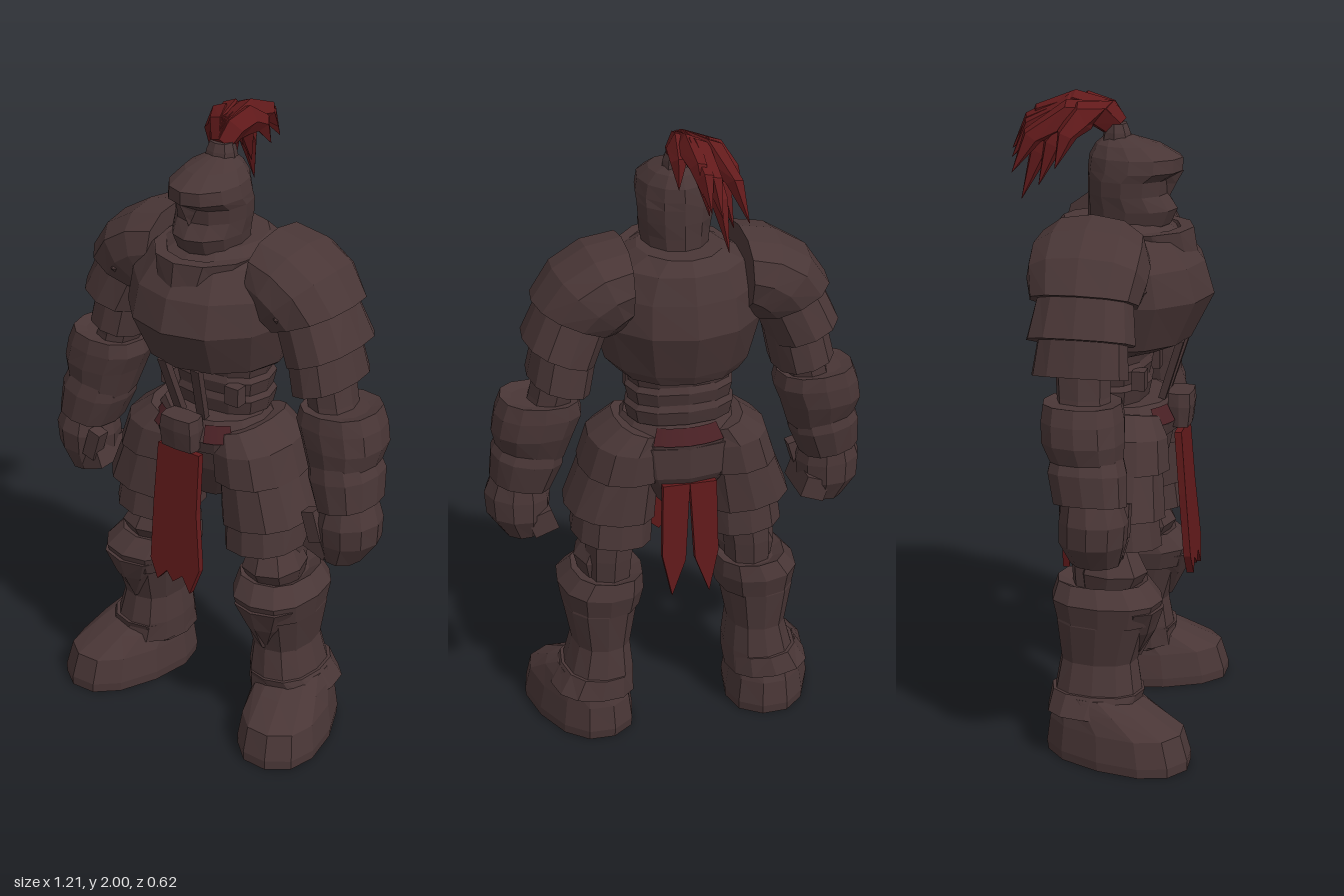
import * as THREE from 'three';

const steel = new THREE.MeshStandardMaterial({ color: 0x493636 });
steel.name = 'dark steel';
const red = new THREE.MeshStandardMaterial({ color: 0x621a1b });
red.name = 'red cloth';
const maroon = new THREE.MeshStandardMaterial({ color: 0x482024, side: THREE.DoubleSide });
maroon.name = 'maroon trim';

// Faceted closed skin over a list of point rings; turned inside out if its volume is negative.
function skin(rings) {
  const n = rings[0].length, tris = [];
  const mid = r => r.reduce((a, p) => a.add(p), new THREE.Vector3()).divideScalar(n);
  const first = mid(rings[0]), last = mid(rings[rings.length - 1]);
  for (let j = 0; j < n; j++) {
    const k = (j + 1) % n;
    for (let i = 0; i + 1 < rings.length; i++) {
      const a = rings[i], b = rings[i + 1];
      tris.push([a[j], b[j], b[k]], [a[j], b[k], a[k]]);
    }
    tris.push([first, rings[0][j], rings[0][k]]);
    tris.push([last, rings[rings.length - 1][k], rings[rings.length - 1][j]]);
  }
  let vol = 0;
  const v = new THREE.Vector3();
  for (const [a, b, c] of tris) vol += v.crossVectors(b, c).dot(a);
  const pts = tris.flatMap(([a, b, c]) => (vol < 0 ? [a, c, b] : [a, b, c]));
  const g = new THREE.BufferGeometry().setFromPoints(pts);
  g.computeVertexNormals();
  return g;
}

function add(parent, name, geo, mat = steel) {
  const m = new THREE.Mesh(geo, mat);
  m.name = name;
  parent.add(m);
  return m;
}

// Each ring spans (xa,ya)-(xb,yb) across and zBack-zFront in depth; s = -1 mirrors it.
function loft(parent, name, rings, { s = 1, n = 12, k = 0.85 } = {}) {
  const pw = c => Math.sign(c) * Math.abs(c) ** k;
  const pts = rings.map(([xa, ya, xb, yb, zb, zf]) => Array.from({ length: n }, (_, i) => {
    const t = (i / n) * Math.PI * 2, u = (pw(Math.cos(t)) + 1) / 2, w = (pw(Math.sin(t)) + 1) / 2;
    return new THREE.Vector3(s * (xa + (xb - xa) * u), ya + (yb - ya) * u, zb + (zf - zb) * w);
  }));
  return add(parent, name, skin(pts));
}
// Level rings centred on x: [y, halfWidth, zBack, zFront]
const level = rows => rows.map(([y, w, zb, zf]) => [-w, y, w, y, zb, zf]);

function box(parent, name, w, h, d, x, y, z) {
  const m = add(parent, name, new THREE.BoxGeometry(w, h, d));
  m.position.set(x, y, z);
  return m;
}

// Bent, tapering tuft through a few points
function tuft(parent, points, r) {
  const curve = new THREE.CatmullRomCurve3(points.map(p => new THREE.Vector3(...p)));
  const X = new THREE.Vector3(1, 0, 0);
  const rings = [0.8, 1, 0.95, 0.65, 0.02].map((f, i) => {
    const c = curve.getPoint(i / 4), nrm = new THREE.Vector3().crossVectors(X, curve.getTangent(i / 4)).normalize();
    return Array.from({ length: 5 }, (_, j) => {
      const a = (j / 5) * Math.PI * 2;
      return c.clone().addScaledVector(X, r * f * 0.8 * Math.cos(a)).addScaledVector(nrm, r * f * Math.sin(a));
    });
  });
  add(parent, 'plumeTuft', skin(rings), red);
}

// Hanging cloth from an outline measured down from its top edge
function cloth(parent, name, outline, y, z, tilt) {
  const shape = new THREE.Shape(outline.map(p => new THREE.Vector2(...p)));
  const g = new THREE.ExtrudeGeometry(shape, { depth: 0.022, bevelEnabled: false });
  const m = add(parent, name, g, red);
  m.position.set(0, y, z);
  m.rotation.x = tilt;
}

function buildTorso(g) {
  loft(g, 'breastplate', level([[1.23, 0.19, -0.18, 0.16], [1.26, 0.225, -0.195, 0.235], [1.4, 0.265, -0.24, 0.305],
    [1.5, 0.255, -0.22, 0.275], [1.58, 0.205, -0.195, 0.21], [1.62, 0.13, -0.16, 0.14]]), { k: 1 });
  loft(g, 'collar', level([[1.51, 0.13, -0.12, 0.255], [1.6, 0.172, -0.17, 0.24], [1.6, 0.14, -0.14, 0.2],
    [1.56, 0.13, -0.12, 0.18]]), { k: 1 });
  for (let i = 0; i < 3; i++) {
    const y = 1.07 + i * 0.06, w = 0.172 - i * 0.002;
    loft(g, 'waistBand', level([[y, w - 0.01, -0.12, 0.105], [y + 0.045, w, -0.13, 0.115], [y + 0.07, w - 0.02, -0.12, 0.105]]));
  }
  for (const s of [-1, 1]) {
    const strap = box(g, 'strap', 0.03, 0.2, 0.022, s * 0.052, 1.17, 0.185);
    strap.rotation.set(0.3, 0, s * -0.1);
    box(g, 'sideBuckle', 0.05, 0.06, 0.04, s * 0.12, 1.15, 0.1);
  }
  loft(g, 'belt', level([[0.97, 0.2, -0.145, 0.2], [1.01, 0.21, -0.15, 0.21], [1.07, 0.168, -0.114, 0.174]]), { k: 1 });
  loft(g, 'hips', level([[0.77, 0.07, -0.07, 0.1], [0.86, 0.15, -0.13, 0.15], [0.9, 0.18, -0.15, 0.17], [1.0, 0.2, -0.148, 0.19]]));
  loft(g, 'buckle', level([[0.985, 0.062, 0.18, 0.24], [1.05, 0.066, 0.17, 0.248], [1.09, 0.06, 0.17, 0.245]]), { n: 8, k: 0.4 });
  // Painted trim on the sloping belt top: two at the front, one at the back
  for (const [start, len] of [[0.36, 0.45], [-0.81, 0.45], [Math.PI - 0.55, 1.1]]) {
    const trim = add(g, 'beltTrim', new THREE.CylinderGeometry(0.84, 1, 0.048, 6, 1, true, start, len), maroon);
    trim.scale.set(0.213, 1, 0.183);
    trim.position.set(0, 1.037, 0.03);
  }
  cloth(g, 'frontCloth', [[-0.08, 0], [0.075, 0], [0.076, -0.2], [0.098, -0.385], [0.066, -0.475], [0.035, -0.425],
    [0, -0.455], [-0.025, -0.425], [-0.06, -0.465], [-0.09, -0.4], [-0.088, -0.2]], 0.975, 0.2, -0.085);
  for (const s of [-1, 1]) {
    cloth(g, 'backCloth', [[0, 0], [s * 0.085, 0], [s * 0.09, -0.24], [s * 0.06, -0.38], [s * 0.015, -0.26]], 0.88, -0.145, 0.03);
  }
}

function buildHead(g) {
  loft(g, 'helmet', level([[1.54, 0.1, -0.09, 0.1], [1.61, 0.1, -0.085, 0.17], [1.655, 0.108, -0.085, 0.19],
    [1.7, 0.113, -0.085, 0.16], [1.745, 0.116, -0.085, 0.165], [1.77, 0.116, -0.085, 0.205], [1.81, 0.108, -0.08, 0.205],
    [1.845, 0.08, -0.06, 0.14], [1.87, 0.035, -0.03, 0.05]]), { k: 1 });
  loft(g, 'noseGuard', level([[1.69, 0.008, 0.12, 0.165], [1.73, 0.02, 0.12, 0.185], [1.77, 0.035, 0.12, 0.207]]), { n: 4, k: 1 });
  loft(g, 'plumeSocket', level([[1.84, 0.05, -0.045, 0.055], [1.88, 0.045, -0.035, 0.045], [1.905, 0.036, -0.03, 0.035]]), { n: 8 });
  // Plume: tufts fan out from the socket to these tips
  const tips = [[-0.135, 1.77, -0.285], [-0.016, 1.82, -0.312], [-0.155, 1.79, -0.15], [-0.08, 1.68, -0.27],
    [-0.05, 1.8, -0.305], [0.045, 1.85, -0.18], [-0.11, 1.73, -0.21], [0, 1.86, -0.28], [-0.04, 1.77, -0.2]];
  for (const [x, y, z] of tips) {
    const drop = (y - 1.8) * 0.45;
    tuft(g, [[0, 1.89, 0.005], [x * 0.25, 1.94, -0.05], [x * 0.7, 1.915 + drop, z * 0.72], [x, y, z]], 0.05);
  }
}

function buildArm(g, s) {
  loft(g, 'pauldron', [[0.18, 1.42, 0.18, 1.665, -0.2, 0.14], [0.185, 1.41, 0.29, 1.645, -0.21, 0.155],
    [0.19, 1.4, 0.39, 1.585, -0.205, 0.155], [0.21, 1.385, 0.455, 1.49, -0.185, 0.14]], { s });
  loft(g, 'upperShoulderPlate', [[0.22, 1.42, 0.42, 1.51, -0.16, 0.12], [0.275, 1.29, 0.485, 1.37, -0.185, 0.14]], { s });
  loft(g, 'lowerShoulderPlate', [[0.26, 1.34, 0.44, 1.4, -0.15, 0.11], [0.29, 1.2, 0.475, 1.25, -0.17, 0.12]], { s });
  const rivet = add(g, 'rivet', new THREE.OctahedronGeometry(0.018));
  rivet.position.set(s * 0.3, 1.47, 0.14);
  loft(g, 'upperArm', [[0.31, 1.28, 0.45, 1.28, -0.1, 0.07], [0.33, 1.18, 0.47, 1.18, -0.09, 0.07],
    [0.36, 1.08, 0.5, 1.08, -0.08, 0.08]], { s, n: 8 });
  loft(g, 'forearmCuff', [[0.36, 0.97, 0.57, 1.01, -0.09, 0.12], [0.33, 1.06, 0.585, 1.07, -0.12, 0.125],
    [0.305, 1.12, 0.575, 1.13, -0.125, 0.12], [0.315, 1.165, 0.555, 1.18, -0.12, 0.11], [0.35, 1.16, 0.52, 1.17, -0.08, 0.07]], { s });
  loft(g, 'wristPlate', [[0.405, 0.86, 0.59, 0.9, -0.08, 0.14], [0.365, 0.95, 0.585, 0.99, -0.1, 0.135],
    [0.36, 1.0, 0.56, 1.04, -0.09, 0.12]], { s });
  loft(g, 'fist', [[0.43, 0.7, 0.55, 0.695, -0.03, 0.12], [0.405, 0.76, 0.602, 0.77, -0.06, 0.14],
    [0.4, 0.82, 0.607, 0.84, -0.06, 0.145], [0.42, 0.9, 0.58, 0.91, -0.05, 0.12]], { s, n: 10, k: 1 });
  for (let i = 0; i < 4; i++) {
    const f = box(g, 'finger', 0.08, 0.07, 0.042, s * 0.44, 0.75, -0.025 + i * 0.042);
    f.rotation.z = s * -0.35;
  }
  const thumb = box(g, 'thumb', 0.045, 0.1, 0.045, s * 0.425, 0.81, 0.11);
  thumb.rotation.z = s * 0.3;
}

function buildLeg(g, s) {
  loft(g, 'upperTasset', [[0.05, 1.02, 0.2, 1.06, -0.12, 0.16], [0.04, 0.97, 0.28, 1.0, -0.14, 0.195],
    [0.05, 0.88, 0.312, 0.9, -0.145, 0.205]], { s });
  loft(g, 'middleTasset', [[0.06, 0.93, 0.29, 0.95, -0.12, 0.18], [0.075, 0.73, 0.36, 0.77, -0.13, 0.2]], { s });
  loft(g, 'lowerTasset', [[0.08, 0.8, 0.32, 0.8, -0.1, 0.17], [0.085, 0.645, 0.338, 0.67, -0.115, 0.19]], { s });
  loft(g, 'thigh', [[0.13, 0.7, 0.3, 0.7, -0.09, 0.12], [0.15, 0.6, 0.3, 0.6, -0.09, 0.09], [0.16, 0.48, 0.3, 0.48, -0.08, 0.08]], { s, n: 8 });
  loft(g, 'kneeGuard', [[0.16, 0.5, 0.31, 0.5, -0.05, 0.11], [0.14, 0.57, 0.33, 0.58, -0.06, 0.15], [0.16, 0.65, 0.29, 0.65, -0.04, 0.11]], { s, n: 8 });
  loft(g, 'greaveCuff', [[0.13, 0.43, 0.375, 0.43, -0.13, 0.18], [0.115, 0.49, 0.388, 0.5, -0.145, 0.2],
    [0.12, 0.545, 0.345, 0.55, -0.13, 0.15], [0.16, 0.53, 0.31, 0.53, -0.09, 0.1]], { s });
  loft(g, 'shinPoint', [[0.245, 0.31, 0.265, 0.31, 0.06, 0.135], [0.19, 0.4, 0.325, 0.4, 0.06, 0.18],
    [0.15, 0.47, 0.365, 0.48, 0.06, 0.205]], { s, n: 8, k: 1 });
  loft(g, 'greave', [[0.155, 0.14, 0.415, 0.15, -0.145, 0.15], [0.155, 0.21, 0.375, 0.21, -0.13, 0.14],
    [0.165, 0.3, 0.35, 0.3, -0.115, 0.125], [0.14, 0.43, 0.375, 0.43, -0.13, 0.165], [0.14, 0.5, 0.36, 0.5, -0.12, 0.15]], { s });
  loft(g, 'ankleBand', [[0.155, 0.13, 0.425, 0.15, -0.15, 0.13], [0.16, 0.2, 0.385, 0.21, -0.14, 0.15]], { s });
  // Boot, turned outward
  const boot = loft(g, 'boot', level([[0, 0.14, -0.125, 0.345], [0.03, 0.142, -0.13, 0.345], [0.11, 0.13, -0.12, 0.32],
    [0.165, 0.115, -0.1, 0.21], [0.2, 0.1, -0.09, 0.13]]), { k: 0.85 });
  boot.position.set(s * 0.285, 0, -0.025);
  boot.rotation.y = s * 0.3;
}

export function createModel() {
  const model = new THREE.Group();
  model.name = 'armouredKnight';
  const part = (name, build, s) => {
    const g = new THREE.Group();
    g.name = name;
    build(g, s);
    model.add(g);
  };
  part('torso', buildTorso);
  part('head', buildHead);
  for (const [side, s] of [['left', 1], ['right', -1]]) {
    part(side + 'Arm', buildArm, s);
    part(side + 'Leg', buildLeg, s);
  }
  return model;
}
